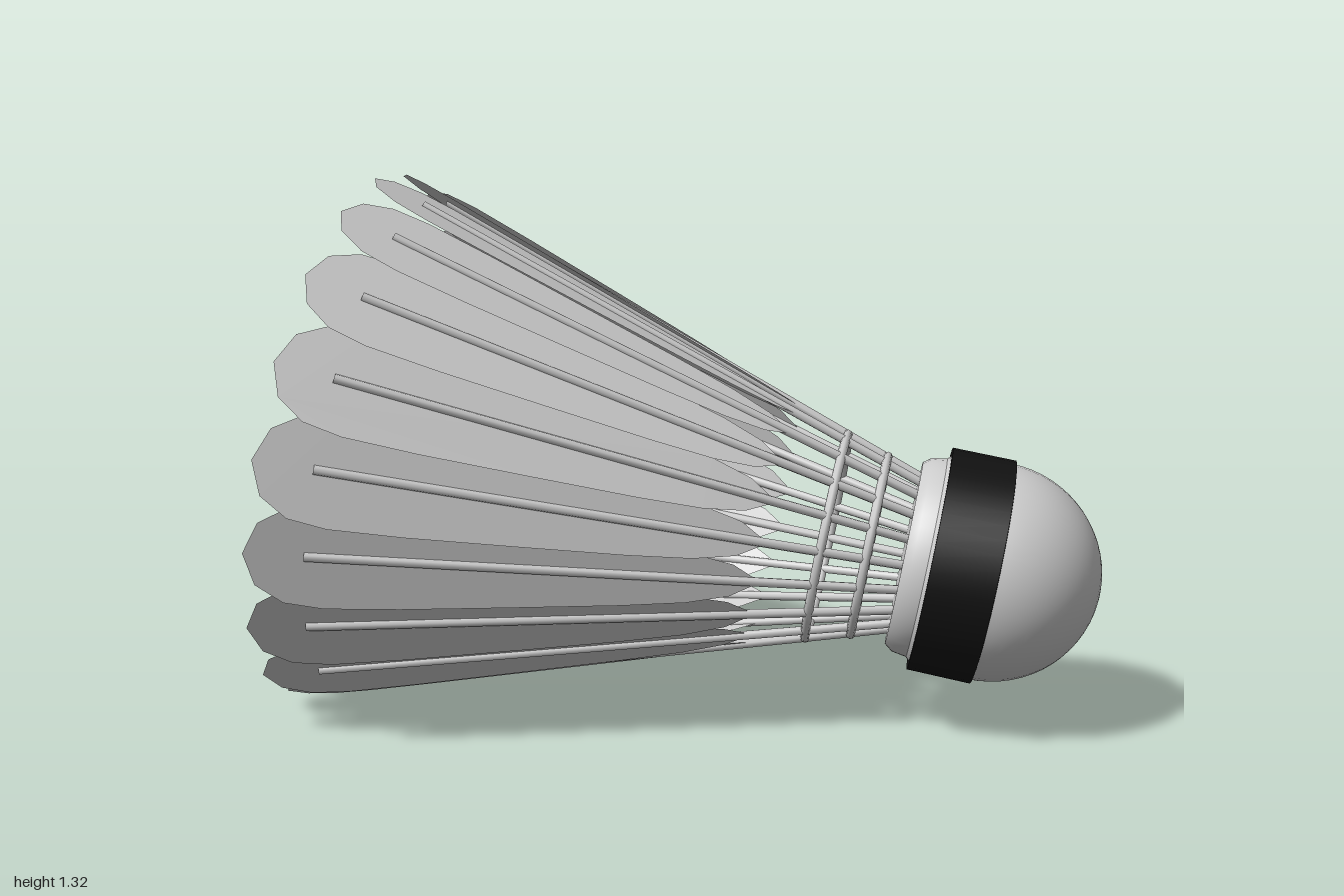
import * as THREE from 'three';
import { toCreasedNormals } from 'three/addons/utils/BufferGeometryUtils.js';

const FEATHERS = 19;
const TILT = 0.325;          // flare of the skirt
const ROOT = { r: 0.187, y: 0.2 };

const grey = new THREE.MeshStandardMaterial({ color: 0xcccccc });
const vane = new THREE.MeshStandardMaterial({ color: 0xcccccc, side: THREE.DoubleSide });
const black = new THREE.MeshStandardMaterial({ color: 0x111111 });

function addMesh(parent, name, geometry, material) {
  const mesh = new THREE.Mesh(geometry, material);
  mesh.name = name;
  parent.add(mesh);
  return mesh;
}

function lathe(points) {
  const geometry = new THREE.LatheGeometry(points.map(([r, y]) => new THREE.Vector2(r, y)), 48);
  return toCreasedNormals(geometry, 0.6);
}

// Pointed at the root, broad and rounded at the tip
function featherGeometry() {
  const half = [[0.04, 0.4], [0.062, 0.5], [0.078, 0.65], [0.098, 0.9],
    [0.117, 1.15], [0.125, 1.32], [0.115, 1.41], [0.075, 1.475]];
  const shape = new THREE.Shape();
  shape.moveTo(0, 0.33);
  half.forEach(([x, y]) => shape.lineTo(x, y));
  shape.lineTo(0, 1.505);
  half.slice().reverse().forEach(([x, y]) => shape.lineTo(-x, y));
  return new THREE.ShapeGeometry(shape);
}

export function createModel() {
  const model = new THREE.Group();
  model.name = 'shuttlecock';

  // Everything is built along +y, then laid over on the skirt rim
  const body = new THREE.Group();
  body.name = 'body';
  const axis = new THREE.Vector3(-0.855, 0.172, -0.489).normalize();
  const side = new THREE.Vector3(-axis.z, 0, axis.x).normalize();
  const up = new THREE.Vector3().crossVectors(side, axis);
  body.quaternion.setFromRotationMatrix(new THREE.Matrix4().makeBasis(side, axis, up));
  body.position.set(0.735, 0.385, 0.55);
  model.add(body);

  // Rounded cork with a narrower collar
  const R = 0.265;
  const profile = [];
  for (let i = 0; i <= 16; i++) {
    const a = (i / 16) * Math.PI / 2;
    profile.push([R * Math.sin(a), -R * Math.cos(a)]);
  }
  profile.push([R, 0.13], [0.245, 0.15], [0.24, 0.185], [0.225, 0.205], [0, 0.205]);
  addMesh(body, 'cork', lathe(profile), grey);

  // Dark band around the cork
  addMesh(body, 'band', lathe([[0.26, -0.012], [0.274, -0.01], [0.274, 0.142],
    [0.24, 0.142]]), black);

  // Binding rings around the quills
  [[0.29, 0.222], [0.395, 0.255]].forEach(([y, r]) => {
    const ring = addMesh(body, 'bindingRing', new THREE.TorusGeometry(r, 0.011, 8, 48), grey);
    ring.rotation.x = Math.PI / 2;
    ring.position.y = y;
  });

  // Quills with overlapping feathers
  const quillShape = new THREE.CylinderGeometry(0.011, 0.011, 1.39, 8);
  quillShape.translate(0, 0.675, 0);
  const featherShape = featherGeometry();
  for (let i = 0; i < FEATHERS; i++) {
    const spoke = new THREE.Group();
    spoke.name = 'feather' + (i + 1);
    spoke.rotation.y = 0.26 - (i / FEATHERS) * Math.PI * 2;
    body.add(spoke);

    const slant = new THREE.Group();
    slant.name = 'slant';
    slant.position.set(ROOT.r, ROOT.y, 0);
    slant.rotation.z = -TILT;
    spoke.add(slant);

    addMesh(slant, 'quill', quillShape, grey);
    const feather = addMesh(slant, 'vane', featherShape, vane);
    feather.rotation.y = Math.PI / 2 + 0.12;
  }
  return model;
}
